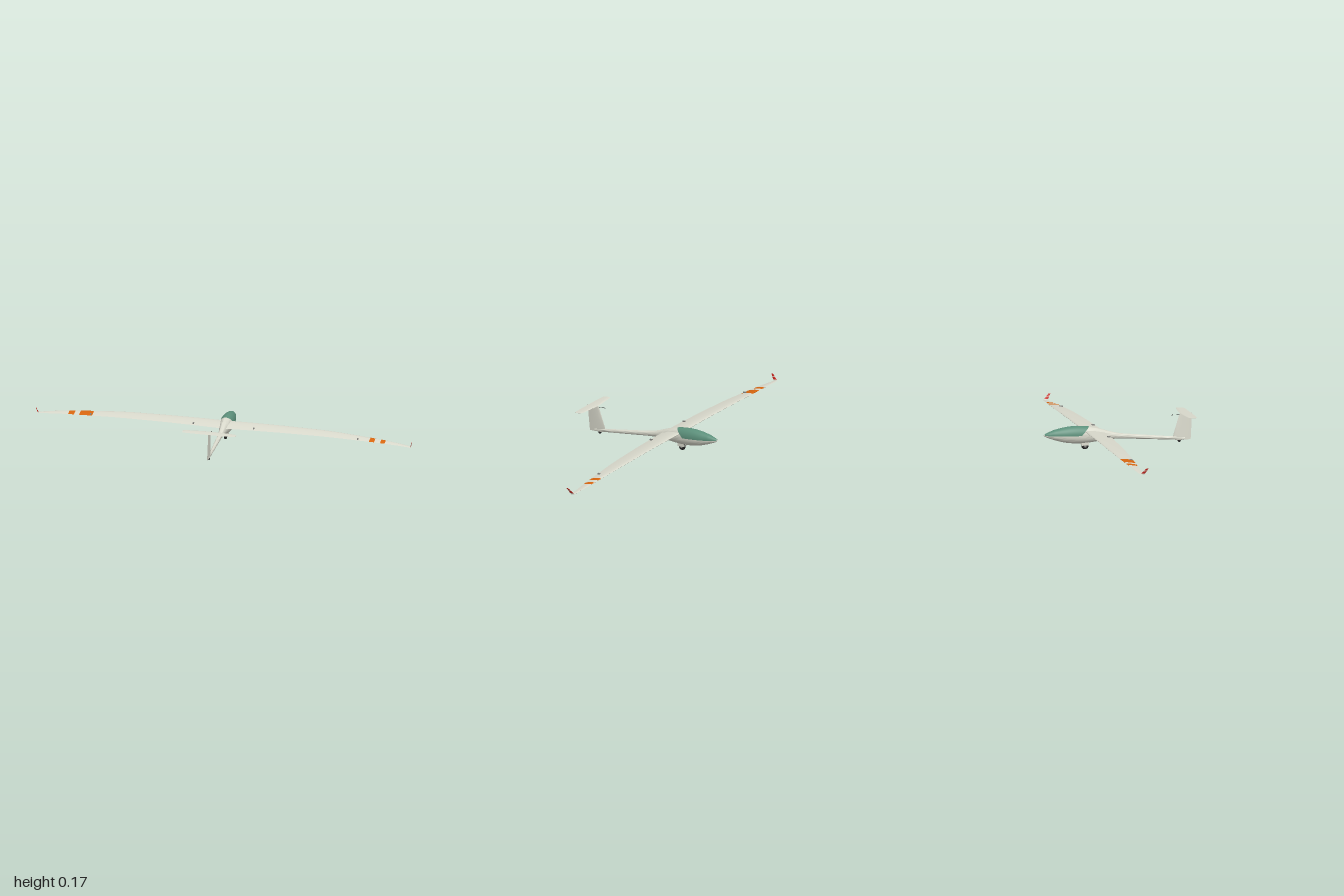
import * as THREE from 'three';
import { toCreasedNormals } from 'three/addons/utils/BufferGeometryUtils.js';

const mat = (name, color, extra = {}) => {
  const m = new THREE.MeshStandardMaterial({ color, ...extra });
  m.name = name;
  return m;
};

// Joins rings of points [x, y, z]; each ring runs counter-clockwise seen from the next one.
// slots gives the material index of each span between rings.
function loft(rings, slots = [], crease = 0.9) {
  const n = rings[0].length, last = (rings.length - 1) * n, index = [];
  const geo = new THREE.BufferGeometry();
  geo.setAttribute('position', new THREE.Float32BufferAttribute(rings.flat(2), 3));
  for (let i = 0; i < rings.length - 1; i++) {
    const start = index.length;
    for (let k = 0; k < n; k++) {
      const a = i * n + k, b = i * n + (k + 1) % n;
      index.push(a, b, a + n, b, b + n, a + n);
    }
    geo.addGroup(start, index.length - start, slots[i] || 0);
  }
  const start = index.length;
  for (let k = 1; k < n - 1; k++) index.push(0, k + 1, k, last, last + k, last + k + 1);
  geo.addGroup(start, index.length - start, slots[slots.length - 1] || 0);
  geo.setIndex(index);
  return toCreasedNormals(geo, crease);
}

// Aerofoil loop: [chord fraction, half thickness], first the upper side, then the lower
const foil = Array.from({ length: 24 }, (_, k) => {
  const a = (k / 24) * Math.PI * 2, c = (1 - Math.cos(a)) / 2;
  return [c, Math.sign(Math.sin(a)) * 1.3 * Math.sqrt(c) * (1 - c)];
});
// Section of a flat surface (lies along x) or an upright one (rises along y)
const flatRing = (x, le, te, y, t, tilt = 0) =>
  foil.map(([c, h]) => [x, y + h * t + (0.5 - c) * (te - le) * tilt, le + c * (te - le)]);
const uprightRing = (x, y, le, te, t) => foil.map(([c, h]) => [x - h * t, y, le + c * (te - le)]);

// Fuselage stations: z, top, bottom, half width
const BODY = [
  [-0.402, 0.0885, 0.0865, 0.001], [-0.392, 0.096, 0.079, 0.008], [-0.375, 0.103, 0.071, 0.015],
  [-0.35, 0.112, 0.061, 0.022], [-0.3, 0.122, 0.046, 0.031], [-0.25, 0.127, 0.037, 0.035],
  [-0.2, 0.1255, 0.034, 0.035], [-0.15, 0.119, 0.036, 0.031], [-0.1, 0.107, 0.041, 0.024],
  [-0.05, 0.09, 0.0445, 0.017], [0, 0.076, 0.0455, 0.0135], [0.05, 0.068, 0.042, 0.0115],
  [0.1, 0.0615, 0.037, 0.0105], [0.2, 0.049, 0.028, 0.0085], [0.3, 0.037, 0.0195, 0.0065],
  [0.36, 0.03, 0.0165, 0.005],
];
const bodyCurve = new THREE.CatmullRomCurve3(
  BODY.map(([, top, bottom, w]) => new THREE.Vector3(top, bottom, w)), false, 'catmullrom');
function bodyAt(z) {
  let i = 0;
  while (i < BODY.length - 2 && z > BODY[i + 1][0]) i++;
  const f = (z - BODY[i][0]) / (BODY[i + 1][0] - BODY[i][0]);
  const p = bodyCurve.getPoint((i + f) / (BODY.length - 1));
  return { yc: (p.x + p.y) / 2, h: (p.x - p.y) / 2, w: p.z };
}

function fuselageGeometry() {
  const rings = [];
  for (let i = 0; i < BODY.length - 1; i++)
    for (let j = 0; j < 3; j++) rings.push(BODY[i][0] + (j / 3) * (BODY[i + 1][0] - BODY[i][0]));
  rings.push(0.36);
  return loft(rings.map(z => {
    const { yc, h, w } = bodyAt(z);
    return Array.from({ length: 32 }, (_, k) => {
      const a = (k / 32) * Math.PI * 2;
      return [w * Math.cos(a), yc + h * Math.sin(a), z];
    });
  }));
}

// Thin shell over the fuselage with a straight sill and a raked rear edge
function canopyGeometry() {
  const NT = 32, NS = 24, pos = [], index = [];
  for (let i = 0; i <= NT; i++) for (let j = 0; j <= NS; j++) {
    const s = j / NS, nose = -0.397;
    const z = nose + (i / NT) * (-0.205 + 0.047 * Math.sin(Math.PI * s) - nose);
    const { yc, h, w } = bodyAt(z);
    const sill = THREE.MathUtils.mapLinear(Math.min(z, -0.205), -0.397, -0.205, 0.0865, 0.079);
    const a0 = Math.asin(THREE.MathUtils.clamp((sill - yc) / h, -0.6, 0.6));
    const a = a0 + s * (Math.PI - 2 * a0);
    pos.push((w + 0.0009) * Math.cos(a), yc + (h + 0.0009) * Math.sin(a), z);
    if (i < NT && j < NS) {
      const p = i * (NS + 1) + j, q = p + NS + 1;
      index.push(p, p + 1, q, p + 1, q + 1, q);
    }
  }
  const geo = new THREE.BufferGeometry();
  geo.setAttribute('position', new THREE.Float32BufferAttribute(pos, 3));
  geo.setIndex(index);
  geo.computeVertexNormals();
  return geo;
}

// Half wing stations: x, leading edge z, trailing edge z, y, half thickness, colour of next span
const WING = [
  [0, -0.183, -0.069, 0.09, 0.017, 0], [0.12, -0.184, -0.073, 0.092, 0.015, 0],
  [0.3, -0.184, -0.081, 0.0925, 0.012, 0], [0.5, -0.184, -0.091, 0.0905, 0.01, 0],
  [0.6, -0.18, -0.097, 0.0875, 0.009, 0], [0.7, -0.174, -0.104, 0.0825, 0.0075, 0],
  [0.77, -0.169, -0.109, 0.079, 0.0065, 1], [0.797, -0.167, -0.111, 0.0775, 0.006, 0],
  [0.829, -0.1645, -0.113, 0.0755, 0.0056, 1], [0.853, -0.162, -0.1145, 0.074, 0.0052, 0],
  [0.92, -0.155, -0.119, 0.0685, 0.004, 0], [0.97, -0.148, -0.1215, 0.0635, 0.003, 0],
  [0.992, -0.141, -0.1195, 0.061, 0.002, 0],
];

export function createModel() {
  const white = mat('gelcoat white', 0xd9d9cc);
  const orange = mat('stripe orange', 0xd8660f);
  const red = mat('winglet red', 0xc8241c);
  const glass = mat('canopy green', 0x5b8f7a, { side: THREE.DoubleSide });
  const black = mat('tyre black', 0x242424);
  const grey = mat('hub grey', 0x8c8c88);

  const model = new THREE.Group();
  model.name = 'glider';
  const plane = new THREE.Group();
  plane.name = 'airframe';
  plane.position.x = -0.004;
  plane.rotation.z = -0.055; // resting on one wing tip
  model.add(plane);
  const add = (name, geo, material, x = 0, y = 0, z = 0) => {
    const m = new THREE.Mesh(geo, material);
    m.name = name;
    m.position.set(x, y, z);
    plane.add(m);
    return m;
  };

  add('fuselage', fuselageGeometry(), white);
  add('canopy', canopyGeometry(), glass);

  // Wing as one span from tip to tip
  const right = WING.slice(1).reverse().map(([x, ...r]) => [-x, ...r]);
  const stations = [...right, ...WING];
  const slots = [...right.map(s => s[5]), ...WING.slice(0, -1).map(s => s[5])];
  add('wing', loft(stations.map(([x, le, te, y, t]) => flatRing(x, le, te, y, t * 0.9, 0.13)), slots),
    [white, orange]);

  for (const s of [1, -1]) {
    const side = s > 0 ? 'left' : 'right';
    // Swept winglet with red bands
    const winglet = [0, 0.2, 0.55, 0.65, 1].map(f => uprightRing(
      s * (0.988 + 0.011 * f), 0.06 + 0.033 * f, -0.144 + 0.033 * f, -0.119 + 0.019 * f, 0.0025 - 0.001 * f));
    add(side + 'Winglet', loft(winglet, [0, 1, 0, 1]), [white, red]);
    // Control linkage fairings
    for (const [x, y, z] of [[0.16, 0.093, -0.092], [0.71, 0.083, -0.118]])
      add(side + 'LinkageFairing', new THREE.BoxGeometry(0.006, 0.007, 0.016), grey, s * x, y, z);
    // Gear doors
    add(side + 'GearDoor', new THREE.BoxGeometry(0.002, 0.018, 0.04), white, s * 0.012, 0.031, -0.18);
    add(side + 'WheelHub', new THREE.CylinderGeometry(0.007, 0.007, 0.002, 16).rotateZ(Math.PI / 2),
      grey, s * 0.0078, 0.0195, -0.18);
  }

  // Fin with rudder
  add('fin', loft([
    [0.0155, 0.345, 0.392, 0.004], [0.024, 0.305, 0.393, 0.007], [0.037, 0.296, 0.394, 0.0075],
    [0.1, 0.316, 0.398, 0.006], [0.156, 0.334, 0.402, 0.005],
  ].map(([y, le, te, t]) => uprightRing(0, y, le, te, t))), white);

  // Tailplane on top of the fin
  const half = [[0, 0.334, 0.397, 0.0045], [0.07, 0.34, 0.397, 0.004], [0.125, 0.347, 0.395, 0.003],
    [0.142, 0.354, 0.391, 0.002]];
  const tail = [...half.slice(1).reverse().map(([x, ...r]) => [-x, ...r]), ...half];
  add('tailplane', loft(tail.map(([x, le, te, t]) => flatRing(x, le, te, 0.157, t, 0.06))), white);

  // Probe ahead of the fin
  const probe = new THREE.CatmullRomCurve3([[0.338, 0.149], [0.31, 0.1525], [0.297, 0.1525], [0.292, 0.148]]
    .map(([z, y]) => new THREE.Vector3(0, y, z)));
  add('probe', new THREE.TubeGeometry(probe, 16, 0.0012, 6), black);

  // Wheels
  const wheel = (name, r, tube, y, z) => {
    add(name, new THREE.TorusGeometry(r - tube, tube, 12, 32).rotateY(Math.PI / 2), black, 0, y, z);
    add(name + 'Disc', new THREE.CylinderGeometry(r - tube, r - tube, tube, 24).rotateZ(Math.PI / 2), black, 0, y, z);
  };
  wheel('mainWheel', 0.0195, 0.0075, 0.0195, -0.18);
  wheel('tailWheel', 0.009, 0.0035, 0.0135, 0.33);
  add('tailWheelFairing', new THREE.SphereGeometry(1, 16, 12).scale(0.005, 0.007, 0.026), white, 0, 0.021, 0.33);

  return model;
}
